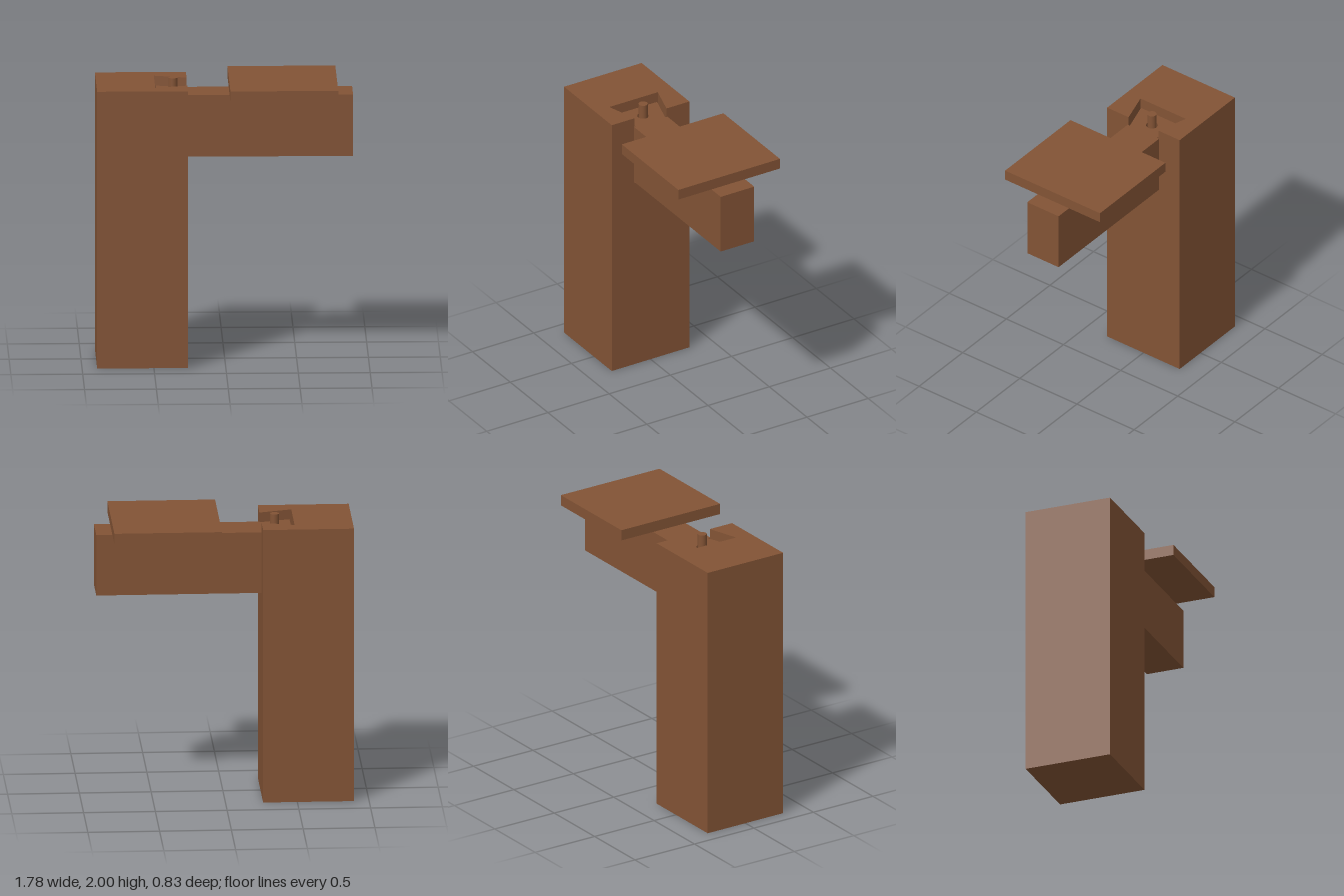
import * as THREE from 'three';

export function createModel() {
  const model = new THREE.Group();
  const wood = new THREE.MeshStandardMaterial({ color: 0x825335 });
  wood.name = 'brown wood';

  const add = (name, geometry, x = 0, y = 0, z = 0) => {
    const mesh = new THREE.Mesh(geometry, wood);
    mesh.name = name;
    mesh.position.set(x, y, z);
    model.add(mesh);
  };

  // Plan outline mirrored across z = 0, extruded upward from y0 to y1
  const prism = (half, y0, y1, hole) => {
    const mirrored = half.map(([x, z]) => [x, -z]).reverse();
    const shape = new THREE.Shape([...half, ...mirrored].map(([x, z]) => new THREE.Vector2(x, z)));
    if (hole) shape.holes.push(new THREE.Path().absarc(hole.x, 0, hole.r, 0, Math.PI * 2, true));
    const geometry = new THREE.ExtrudeGeometry(shape, { depth: y1 - y0, bevelEnabled: false, curveSegments: 24 });
    return geometry.rotateX(-Math.PI / 2).translate(0, y0, 0);
  };

  const postL = -0.895, postR = -0.262, postZ = 0.317;
  const socketY = 1.45, postTop = 1.97, pegX = -0.36;

  // Post: solid shaft, then the top with an open dovetail socket
  add('postShaft', new THREE.BoxGeometry(postR - postL, socketY, postZ * 2), (postL + postR) / 2, socketY / 2);
  add('postSocket', prism([
    [-0.488, 0.198], [postR, 0.13], [postR, postZ], [postL, postZ],
  ], socketY, postTop));

  // Beam with shoulders and a bored dovetail tenon
  add('beam', prism([
    [0.89, 0.137], [postR, 0.137], [postR, 0.119], [-0.475, 0.184],
  ], 1.465, 1.903, { x: pegX, r: 0.041 }));

  // Peg through the tenon
  add('peg', new THREE.CylinderGeometry(0.032, 0.032, 0.55, 32), pegX, 1.725);

  // Flat board just above the beam
  add('board', new THREE.BoxGeometry(0.75, 0.077, 0.83), 0.405, 1.95);

  return model;
}
